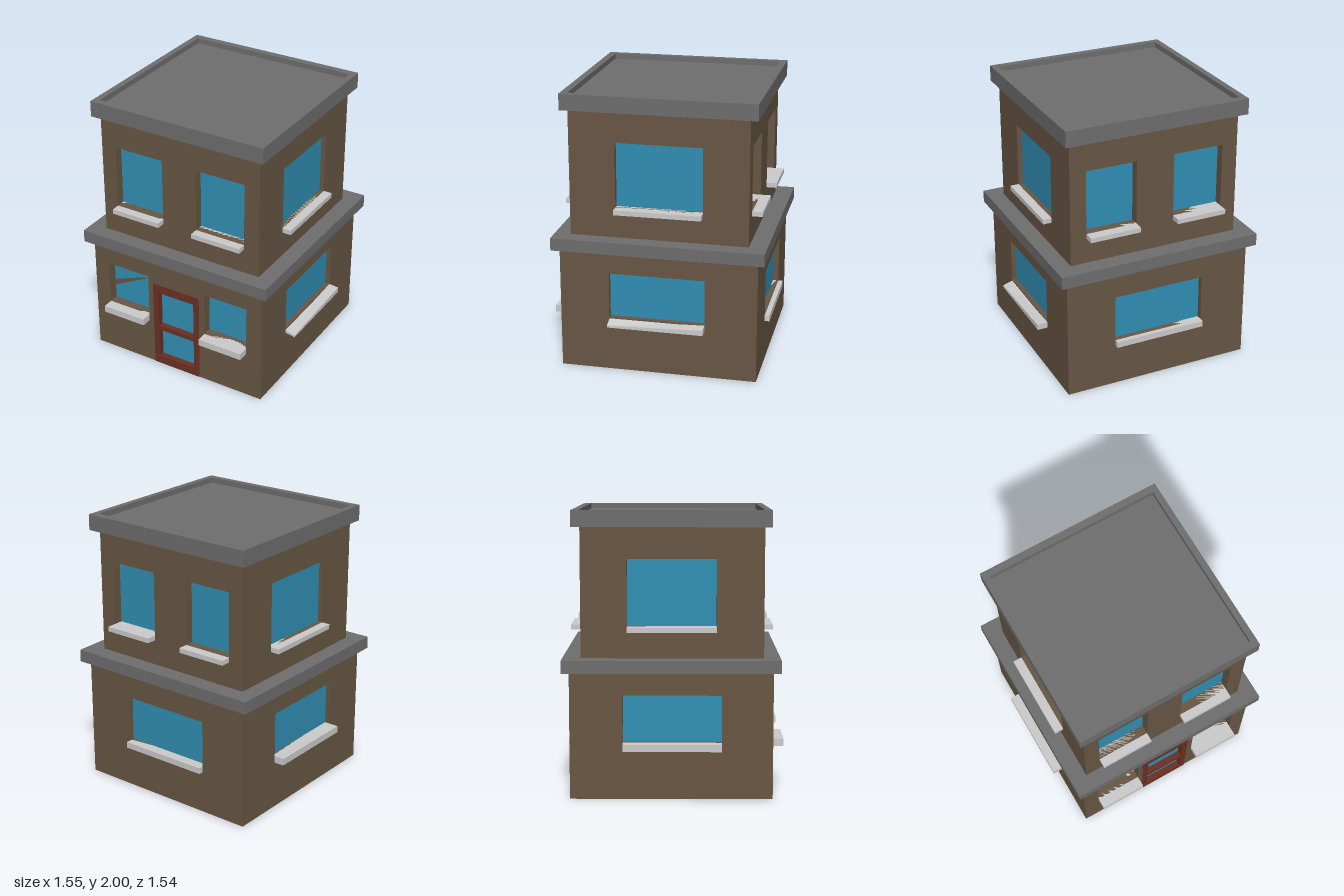
import * as THREE from 'three';

const mat = (color, side = THREE.FrontSide) =>
  new THREE.MeshStandardMaterial({ color, side, flatShading: true });
const brick = mat(0x685744);
const brickThin = mat(0x685744, THREE.DoubleSide);
const roofGrey = mat(0x6e6e6e);
const glass = mat(0x318fb4, THREE.DoubleSide);
const doorRed = mat(0x6a3024);
const stone = mat(0xcccccc);
const THICK = 0.1;

function add(parent, name, geometry, material) {
  const mesh = new THREE.Mesh(geometry, material);
  mesh.name = name;
  parent.add(mesh);
  return mesh;
}

// Box given by its two opposite corners
function block(parent, name, a, b, material) {
  const mesh = add(parent, name, new THREE.BoxGeometry(b[0] - a[0], b[1] - a[1], b[2] - a[2]), material);
  mesh.position.set((a[0] + b[0]) / 2, (a[1] + b[1]) / 2, (a[2] + b[2]) / 2);
  return mesh;
}

function rectPath(Type, x0, y0, x1, y1) {
  return new Type([[x0, y0], [x1, y0], [x1, y1], [x0, y1]].map(p => new THREE.Vector2(...p)));
}

// Flat slab with rectangular holes, its front at z = 0
function slab(x0, y0, x1, y1, holes, depth) {
  const shape = rectPath(THREE.Shape, x0, y0, x1, y1);
  shape.holes = holes.map(h => rectPath(THREE.Path, ...h));
  return new THREE.ExtrudeGeometry(shape, { depth, bevelEnabled: false }).translate(0, 0, -depth);
}

// One wall, its outer face at local z = 0; windows = { r: [x0, y0, x1, y1], recess, out, sillH }
function wall(parent, name, angle, position, [x0, y0, x1, y1], windows, extraHoles = []) {
  const g = new THREE.Group();
  g.name = name;
  g.rotation.y = angle;
  g.position.set(...position);
  parent.add(g);
  add(g, 'wallPanel', slab(x0, y0, x1, y1, [...windows.map(w => w.r), ...extraHoles], THICK), brick);
  for (const { r: [a, b, c, d], recess, out, sillH, warped } of windows) {
    const pane = add(g, 'windowPane', new THREE.PlaneGeometry(c - a, d - b), glass);
    pane.position.set((a + c) / 2, (b + d) / 2, -recess);
    const sill = block(g, 'windowSill', [a, b - sillH, -recess], [c, b, out], stone);
    if (warped) warpSill(sill);
  }
  return g;
}

// Bent sill: the outer edge sags, most of all at its front end
function warpSill(sill) {
  const p = sill.geometry.attributes.position;
  for (let i = 0; i < p.count; i++) {
    const atFront = p.getX(i) < 0, top = p.getY(i) > 0, outer = p.getZ(i) > 0;
    if (top && outer) p.setY(i, p.getY(i) - (atFront ? 0.035 : 0.01));
    if (!top && !outer && atFront) p.setY(i, p.getY(i) + 0.02);
  }
  sill.geometry.computeVertexNormals();
}

// Four walls around a storey; each list of windows is in that wall's own x
function storey(parent, name, hx, zBack, zFront, y0, y1, windows, frontHoles) {
  const g = new THREE.Group();
  g.name = name;
  parent.add(g);
  const full = [-hx, y0, hx, y1];
  const front = wall(g, 'frontWall', 0, [0, 0, zFront], full, windows.front, frontHoles);
  wall(g, 'backWall', Math.PI, [0, 0, zBack], full, windows.back);
  wall(g, 'leftWall', Math.PI / 2, [hx, 0, 0], [THICK - zFront, y0, -zBack - THICK, y1], windows.left);
  wall(g, 'rightWall', -Math.PI / 2, [-hx, 0, 0], [zBack + THICK, y0, zFront - THICK, y1], windows.right);
  return front;
}

export function createModel() {
  const model = new THREE.Group();
  model.name = 'building';

  // Ground floor
  const low = { recess: 0.07, out: 0.08, sillH: 0.05 };
  const lowSide = { recess: 0.035, out: 0.075, sillH: 0.05 };
  const front = storey(model, 'groundFloor', 0.7, -0.72, 0.69, 0, 0.89, {
    front: [{ r: [-0.58, 0.4, -0.237, 0.73], ...low }, { r: [0.235, 0.4, 0.578, 0.73], ...low }],
    back: [{ r: [-0.335, 0.355, 0.345, 0.7], recess: 0.04, out: 0.035, sillH: 0.045 }],
    left: [{ r: [-0.335, 0.4, 0.35, 0.73], ...lowSide, warped: true }],
    right: [{ r: [-0.35, 0.4, 0.335, 0.73], ...lowSide }],
  }, [[-0.195, 0.001, 0.19, 0.684]]);
  block(model, 'floor', [-0.65, 0, -0.67], [0.65, 0.02, 0.64], brick);

  // Wall-coloured sliver across one front pane
  const sliver = new THREE.Shape([[-0.58, 0.51], [-0.29, 0.66], [-0.31, 0.665], [-0.58, 0.56]]
    .map(p => new THREE.Vector2(...p)));
  add(front, 'wallSliver', new THREE.ShapeGeometry(sliver), brickThin).position.z = -0.06;

  // Door: frame with two panes
  const door = new THREE.Group();
  door.name = 'door';
  front.add(door);
  const panes = [[-0.15, 0.065, 0.145, 0.3], [-0.15, 0.335, 0.145, 0.62]];
  add(door, 'doorFrame', slab(-0.195, 0, 0.19, 0.684, panes, THICK), doorRed).position.z = 0.004;
  for (const [a, b, c, d] of panes) {
    const pane = add(door, 'doorPane', new THREE.PlaneGeometry(c - a, d - b), glass);
    pane.position.set((a + c) / 2, (b + d) / 2, -0.04);
  }

  // Ledge between the floors
  block(model, 'ledge', [-0.755, 0.89, -0.77], [0.755, 0.98, 0.74], roofGrey);

  // Upper floor
  const up = { recess: 0.065, out: 0.065, sillH: 0.035 };
  const upSide = { ...up, recess: 0.035 };
  const upBack = { ...up, out: 0.075 };
  storey(model, 'upperFloor', 0.635, -0.642, 0.625, 0.98, 1.885, {
    front: [{ r: [-0.522, 1.2, -0.137, 1.665], ...up }, { r: [0.135, 1.2, 0.518, 1.665], ...up }],
    back: [{ r: [-0.516, 1.2, -0.14, 1.665], ...upBack }, { r: [0.145, 1.2, 0.52, 1.665], ...upBack }],
    left: [{ r: [-0.297, 1.2, 0.32, 1.665], ...upSide }],
    right: [{ r: [-0.32, 1.2, 0.297, 1.665], ...upSide }],
  });

  // Flat roof with a raised rim
  const rim = add(model, 'roofRim', slab(-0.682, -0.672, 0.682, 0.7, [[-0.637, -0.622, 0.637, 0.648]], 0.115), roofGrey);
  rim.rotation.x = -Math.PI / 2;
  rim.position.y = 2;
  block(model, 'roofDeck', [-0.637, 1.885, -0.648], [0.637, 1.96, 0.622], roofGrey);

  return model;
}
